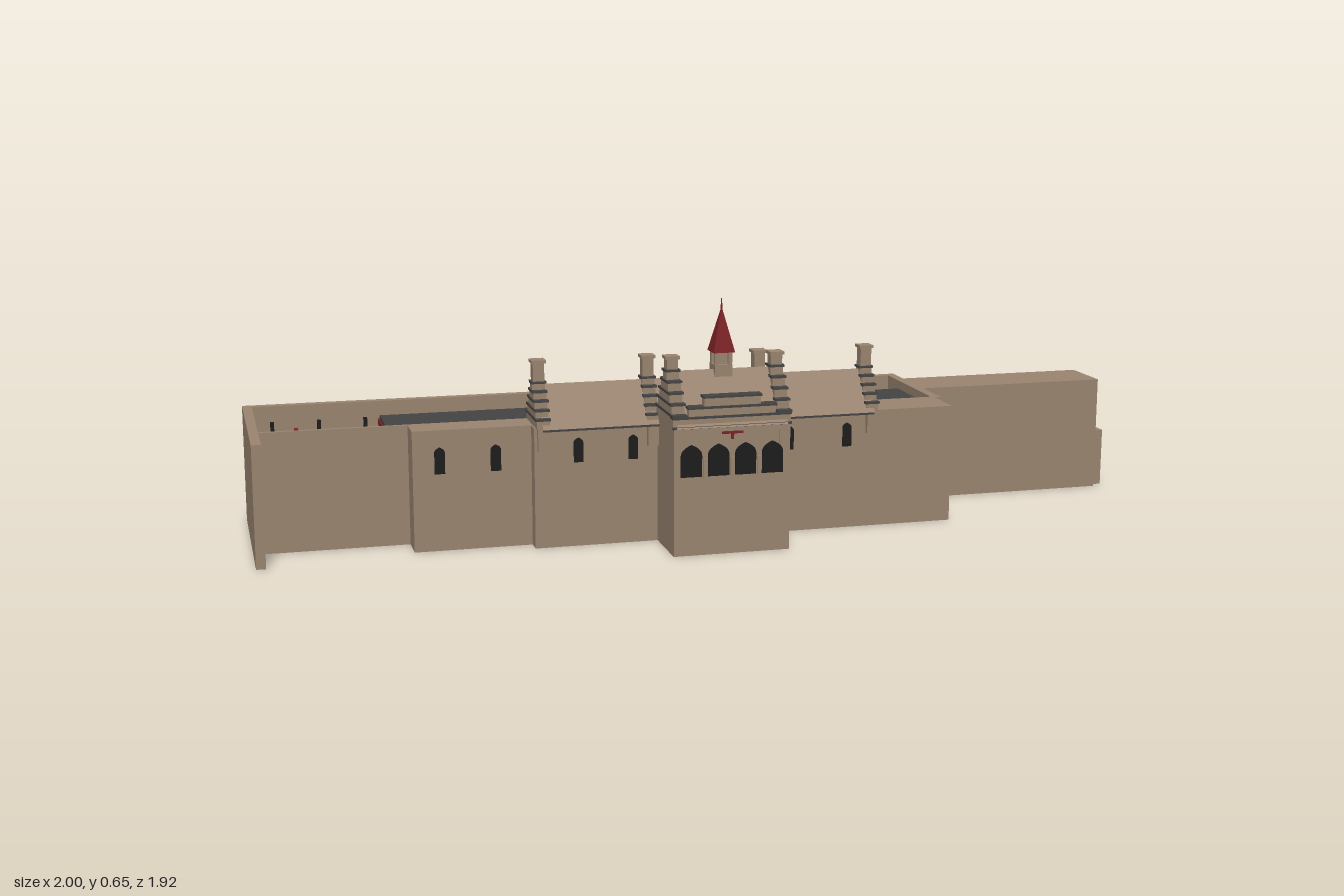
import * as THREE from 'three';

const mat = (name, color, extra = {}) => {
  const m = new THREE.MeshStandardMaterial({ color, ...extra });
  m.name = name;
  return m;
};

export function createModel() {
  const stone = mat('tan stone', 0x998470);
  const slate = mat('dark slate', 0x444444);
  const red = mat('dark red', 0x7a2226);
  const glass = mat('dark opening', 0x1d1d1d);

  const model = new THREE.Group();
  model.name = 'hall';
  // the long axis of the building runs diagonally
  const site = new THREE.Group();
  site.name = 'building';
  site.rotation.y = THREE.MathUtils.degToRad(41.15);
  model.add(site);

  const add = (name, geo, material) => {
    const m = new THREE.Mesh(geo, material);
    m.name = name;
    site.add(m);
    return m;
  };
  // box from ranges along the length, the height and the depth
  const block = (name, x0, x1, y0, y1, z0, z1, material = stone) =>
    add(name, new THREE.BoxGeometry(x1 - x0, y1 - y0, z1 - z0)
      .translate((x0 + x1) / 2, (y0 + y1) / 2, (z0 + z1) / 2), material);
  const archShape = (w, h, pointed) => {
    const s = new THREE.Shape();
    const r = w / 2;
    s.moveTo(-r, 0);
    s.lineTo(r, 0);
    s.lineTo(r, h - r);
    if (pointed) {
      s.quadraticCurveTo(r, h - r * 0.4, 0, h);
      s.quadraticCurveTo(-r, h - r * 0.4, -r, h - r);
    } else s.absarc(0, h - r, r, 0, Math.PI, false);
    s.closePath();
    return s;
  };
  const archWindow = (name, x, y, z, w, h, pointed = true) => {
    const g = new THREE.ExtrudeGeometry(archShape(w, h, pointed), { depth: 0.004, bevelEnabled: false, curveSegments: 6 });
    const m = add(name, g, glass);
    m.position.set(x, y, z);
    return m;
  };

  // main block, with a sunken deck behind parapets
  const H = 0.32;
  block('mainBlock', -1.135, 0.753, 0, 0.25, -0.221, 0.141);
  block('backParapet', -1.135, 0.753, 0.25, H, -0.221, -0.196);
  block('leftParapet', -1.135, -1.11, 0.25, H, -0.196, 0.141);
  block('rightParapet', 0.728, 0.753, 0.25, H, -0.196, 0.141);
  block('frontParapet', -1.11, 0.728, 0.25, H, 0.132, 0.141);
  block('leftButtressWall', -1.135, -1.11, 0, H, 0.141, 0.28);

  // flat slate roof with a red fascia
  block('slateRoof', -0.78, 0.705, 0.296, 0.308, -0.06, 0.131, slate);
  block('redFascia', -0.785, 0.71, 0.284, 0.298, -0.064, 0.131, red);
  block('roofStorey', -0.775, 0.7, 0.25, 0.284, -0.05, 0.13);

  // front wings and tower walls
  block('leftWing', -0.73, -0.42, 0, H, 0.141, 0.224);
  block('frontWing', -0.42, 0.735, 0, H, 0.141, 0.265);
  block('towerWalls', -0.092, 0.218, 0, 0.34, 0.14, 0.432);

  // end extension with an arched passage above a lower block
  const outer = new THREE.Shape([[-0.063 - 0.078, 0], [-0.063 + 0.078, 0], [-0.063 + 0.078, H], [-0.063 - 0.078, H]]
    .map(([a, b]) => new THREE.Vector2(a + 0.063, b)));
  const holePts = archShape(0.1, 0.137, false).getPoints(10).map(p => new THREE.Vector2(p.x, p.y + 0.163));
  outer.holes.push(new THREE.Path(holePts));
  const endWall = add('archedEndWall', new THREE.ExtrudeGeometry(outer, { depth: 0.04, bevelEnabled: false }), stone);
  endWall.rotation.y = Math.PI / 2;
  endWall.position.set(1.258, 0, -0.063);
  block('extension', 0.753, 1.258, 0, H, -0.141, 0.015);
  block('archRecess', 1.257, 1.261, 0.163, 0.3, -0.113, -0.013, glass);
  block('endLanding', 1.298, 1.33, 0, 0.163, -0.12, -0.006);

  // pitched roofs: ridge along the length
  const pitched = (name, x0, x1, z0, z1, y0, y1) => {
    const zm = (z0 + z1) / 2;
    const s = new THREE.Shape([new THREE.Vector2(-z1, y0), new THREE.Vector2(-z0, y0), new THREE.Vector2(-zm, y1)]);
    const m = add(name, new THREE.ExtrudeGeometry(s, { depth: x1 - x0, bevelEnabled: false }), stone);
    m.rotation.y = Math.PI / 2;
    m.position.x = x0;
  };
  pitched('wingRoof', -0.4, 0.505, 0.13, 0.285, 0.318, 0.425);
  pitched('towerRoof', -0.085, 0.21, 0.235, 0.44, 0.335, 0.468);
  block('wingEaves', -0.4, 0.505, 0.312, 0.32, 0.262, 0.283, slate);

  // crow-stepped gables with dark copings and a chimney on each
  const gable = (x, z0, z1, y0, y1, top) => {
    const zm = (z0 + z1) / 2, n = 5, w = 0.017;
    for (let i = 0; i < n; i++) {
      const half = (z1 - z0) / 2 * (1 - i / n);
      const a = y0 + (y1 - y0) * i / n, b = y0 + (y1 - y0) * (i + 1) / n;
      block('gableStep', x - w, x + w, a, b, zm - half, zm + half);
      block('gableCoping', x - w - 0.003, x + w + 0.003, b - 0.002, b + 0.004, zm - half - 0.003, zm + half + 0.003, slate);
    }
    block('chimney', x - 0.015, x + 0.015, y1, top - 0.008, zm - 0.015, zm + 0.015);
    block('chimneyCap', x - 0.019, x + 0.019, top - 0.008, top, zm - 0.019, zm + 0.019);
    block('gableCorbel', x - 0.014, x + 0.014, y0 - 0.06, y0, z1 - 0.02, z1 + 0.002);
  };
  for (const x of [-0.398, -0.106, 0.2, 0.5]) gable(x, 0.135, 0.277, 0.32, 0.43, 0.49);
  for (const x of [-0.077, 0.202]) gable(x, 0.26, 0.432, 0.34, 0.472, 0.51);

  // stepped parapet on the tower front
  [[0.155, 0.34, 0.36], [0.115, 0.36, 0.385], [0.075, 0.385, 0.412]].forEach(([half, a, b]) => {
    block('frontStep', 0.063 - half, 0.063 + half, a, b, 0.408, 0.432);
    block('frontStepCoping', 0.06 - half, 0.066 + half, b - 0.001, b + 0.005, 0.405, 0.436, slate);
  });
  block('frontStringCourse', -0.095, 0.221, 0.334, 0.34, 0.43, 0.437, slate);
  block('redOrnament', 0.035, 0.09, 0.317, 0.323, 0.431, 0.437, red);
  block('redOrnamentStem', 0.059, 0.066, 0.303, 0.317, 0.431, 0.437, red);

  // lantern and square spire
  const sx = 0.062, sz = 0.328;
  block('lanternBase', sx - 0.024, sx + 0.024, 0.44, 0.48, sz - 0.024, sz + 0.024);
  for (const i of [-1, 1]) for (const j of [-1, 1])
    block('lanternPost', sx + i * 0.018 - 0.005, sx + i * 0.018 + 0.005, 0.48, 0.515, sz + j * 0.018 - 0.005, sz + j * 0.018 + 0.005);
  block('lanternCore', sx - 0.011, sx + 0.011, 0.48, 0.515, sz - 0.011, sz + 0.011);
  const spire = add('spire', new THREE.ConeGeometry(0.041, 0.118, 4, 1).rotateY(Math.PI / 4).toNonIndexed(), red);
  spire.geometry.computeVertexNormals();
  spire.position.set(sx, 0.571, sz);
  const finial = add('finial', new THREE.CylinderGeometry(0.0015, 0.0025, 0.03, 6), red);
  finial.position.set(sx, 0.635, sz);

  // front windows
  for (const x of [-0.66, -0.514]) archWindow('wingWindow', x, 0.205, 0.223, 0.027, 0.07);
  for (const x of [-0.304, -0.158, 0.27, 0.433]) archWindow('wingWindow', x, 0.225, 0.264, 0.025, 0.065);
  for (let i = 0; i < 4; i++) archWindow('towerWindow', -0.046 + i * 0.072, 0.208, 0.431, 0.056, 0.084);
  for (let i = 0; i < 3; i++) block('towerColumn', -0.015 + i * 0.072, -0.005 + i * 0.072, 0.205, 0.255, 0.432, 0.437);

  // small slots and ledges on the back wall, and lamps on the deck
  for (let i = 0; i < 15; i++) {
    const x = -1.06 + i * 0.125;
    for (const y of [0.05, 0.165, 0.255]) {
      block('backSlot', x - 0.005, x + 0.005, y, y + 0.012, -0.224, -0.22, glass);
      block('backLedge', x - 0.012, x + 0.012, y - 0.006, y, -0.226, -0.22);
    }
    block('deckLamp', x - 0.005, x + 0.005, 0.25, 0.285, -0.155, -0.146, glass);
  }
  block('backPilaster', 0.265, 0.272, 0, H, -0.224, -0.22);

  // railing and red bench on the open deck
  for (let i = 0; i < 16; i++) {
    block('railPost', -1.1 + i * 0.02, -1.092 + i * 0.02, 0.25, 0.275, -0.01, -0.006, glass);
  }
  block('redBench', -1.005, -0.995, 0.25, 0.275, -0.11, -0.05, red);
  for (const [x, z] of [[-0.98, 0.09], [-0.83, 0.02], [-0.86, 0.08]])
    block('deckPost', x - 0.006, x + 0.006, 0.25, 0.28, z - 0.006, z + 0.006, glass);

  return model;
}
